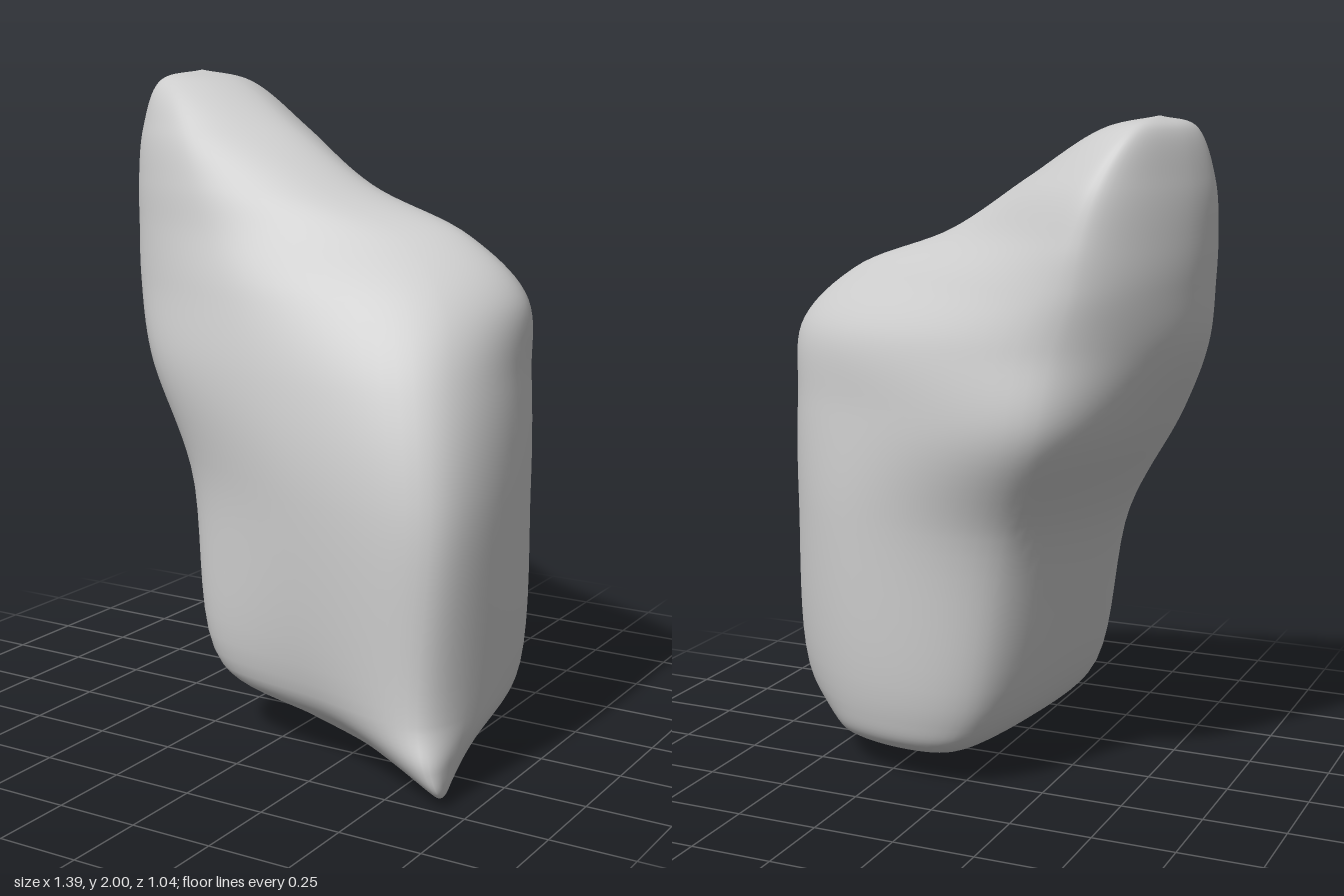
import * as THREE from 'three';
import { mergeVertices } from 'three/addons/utils/BufferGeometryUtils.js';

// Cross-sections from bottom to top: height, then x,z pairs around the rock
// (front left, front, front right, right, back right, back left, left).
const SECTIONS = [
  [0.035, 0.28, 0.18, 0.46, 0.32, 0.66, 0.48, 0.56, 0.18, 0.42, 0, 0.22, 0.02, 0.21, 0.12],
  [0.11, 0.01, 0.21, 0.31, 0.36, 0.645, 0.505, 0.59, 0.06, 0.39, -0.27, 0.03, -0.31, -0.05, -0.03],
  [0.23, -0.185, 0.31, 0.2, 0.425, 0.615, 0.475, 0.645, -0.04, 0.35, -0.345, -0.06, -0.35, -0.2, 0.02],
  [0.8, -0.335, 0.24, 0.17, 0.47, 0.63, 0.43, 0.655, -0.09, 0.35, -0.37, -0.18, -0.39, -0.365, -0.01],
  [1.13, -0.52, 0.185, 0.03, 0.425, 0.58, 0.34, 0.645, -0.1, 0.31, -0.365, -0.32, -0.505, -0.54, -0.13],
  [1.36, -0.63, 0.085, -0.08, 0.35, 0.5, 0.23, 0.65, -0.04, 0.36, -0.31, -0.36, -0.485, -0.635, -0.18],
  [1.53, -0.655, 0.055, -0.22, 0.265, 0.33, 0.14, 0.48, -0.01, 0.21, -0.24, -0.41, -0.475, -0.655, -0.2],
  [1.66, -0.665, 0.04, -0.32, 0.215, 0.04, 0.12, 0.14, -0.03, -0.03, -0.24, -0.43, -0.46, -0.66, -0.2],
  [1.82, -0.66, 0.02, -0.43, 0.14, -0.22, 0.06, -0.13, -0.06, -0.24, -0.28, -0.47, -0.415, -0.655, -0.18],
  [1.965, -0.615, -0.01, -0.53, 0.02, -0.44, -0.03, -0.39, -0.13, -0.43, -0.25, -0.53, -0.31, -0.615, -0.16],
];
const BOTTOM = new THREE.Vector3(0.57, 0, 0.28);
const TOP = new THREE.Vector3(-0.55, 2, -0.15);
const COLUMNS = 7, ROWS = 96, AROUND = 84;

function rockGeometry() {
  // Smooth curves running up the rock, one per column
  const columns = [];
  for (let c = 0; c < COLUMNS; c++) {
    const path = SECTIONS.map((s) => new THREE.Vector3(s[1 + 2 * c], s[0], s[2 + 2 * c]));
    columns.push(new THREE.CatmullRomCurve3([BOTTOM, ...path, TOP]));
  }
  // Closed smooth rings through those curves
  const positions = [], index = [];
  for (let r = 0; r <= ROWS; r++) {
    const ring = new THREE.CatmullRomCurve3(columns.map((c) => c.getPoint(r / ROWS)), true);
    for (let a = 0; a < AROUND; a++) {
      const end = r === 0 ? BOTTOM : r === ROWS ? TOP : null;
      const p = end || ring.getPoint(a / AROUND);
      positions.push(p.x, Math.min(2, Math.max(0, p.y)), p.z);
    }
  }
  for (let r = 0; r < ROWS; r++) {
    for (let a = 0; a < AROUND; a++) {
      const i = r * AROUND + a, j = r * AROUND + (a + 1) % AROUND;
      if (r > 0) index.push(i, j, j + AROUND);
      if (r < ROWS - 1) index.push(i, j + AROUND, i + AROUND);
    }
  }
  let geometry = new THREE.BufferGeometry();
  geometry.setAttribute('position', new THREE.Float32BufferAttribute(positions, 3));
  geometry.setIndex(index);
  geometry = mergeVertices(geometry, 1e-5);
  geometry.computeVertexNormals();
  return geometry;
}

export function createModel() {
  const group = new THREE.Group();
  group.name = 'rock';
  const rock = new THREE.Mesh(rockGeometry(), new THREE.MeshStandardMaterial({ color: 0xcccccc }));
  rock.name = 'boulder';
  group.add(rock);
  return group;
}
